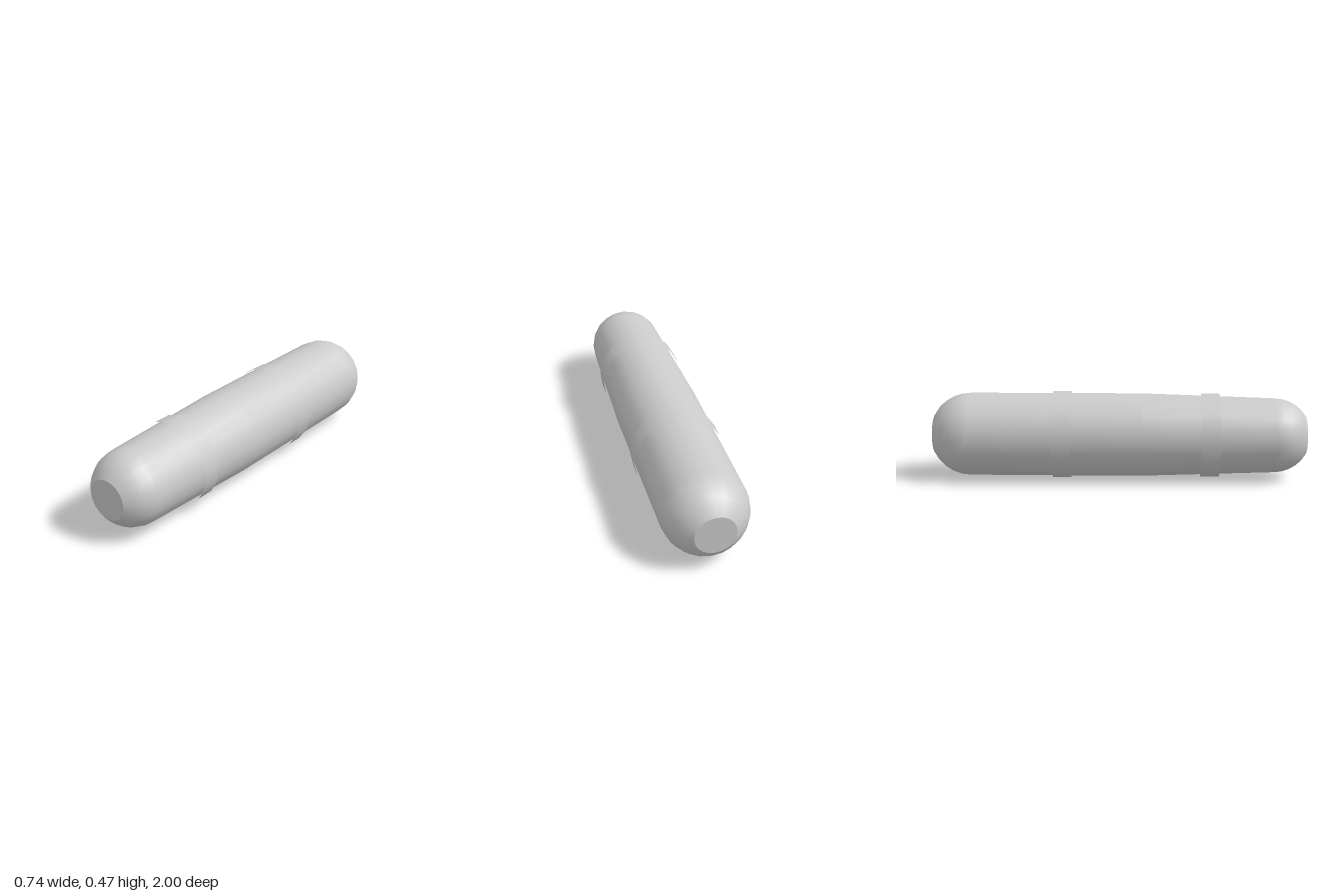
import * as THREE from 'three';

const material = new THREE.MeshStandardMaterial({ color: 0xcccccc });

// Quarter-round profile points from the shoulder (0) to the rim of the flat tip (1)
function dome(radius, shoulder, tip, steps) {
  const end = Math.asin(Math.abs(tip - shoulder) / radius);
  const dir = Math.sign(tip - shoulder);
  const pts = [];
  for (let i = 0; i <= steps; i++) {
    const a = (end * i) / steps;
    pts.push(new THREE.Vector2(radius * Math.cos(a), shoulder + dir * radius * Math.sin(a)));
  }
  return pts;
}

function add(parent, geometry, name) {
  const mesh = new THREE.Mesh(geometry, material);
  mesh.name = name;
  parent.add(mesh);
  return mesh;
}

export function createModel() {
  const model = new THREE.Group();
  model.name = 'bandedCapsule';

  // The capsule is built along +y, then laid down and turned slightly
  const capsule = new THREE.Group();
  capsule.name = 'capsule';
  capsule.rotation.set(Math.PI / 2, 0, 0);
  const turn = new THREE.Group();
  turn.name = 'turnedAxis';
  turn.rotation.y = -0.195;
  turn.position.set(-0.008, 0.237, 0);
  turn.add(capsule);
  model.add(turn);

  // Body: constant at the back, tapering slightly towards the front
  const back = dome(0.2235, -0.8, -0.997, 5);
  const front = dome(0.2, 0.827, 0.997, 5);
  const profile = [...back.slice().reverse(), new THREE.Vector2(0.2235, 0.12), ...front];
  add(capsule, new THREE.LatheGeometry(profile, 20), 'body');

  // Flat tips
  for (const [name, rim, dir] of [['frontTip', front.at(-1), 1], ['backTip', back.at(-1), -1]]) {
    const disc = add(capsule, new THREE.CircleGeometry(rim.x, 20), name);
    disc.rotation.x = (-dir * Math.PI) / 2;
    disc.position.y = rim.y;
  }

  // Thin open bands, visible from outside only
  for (const [name, radius, y, spin] of [['frontBand', 0.225, 0.483, 0.314], ['backBand', 0.235, -0.305, 0]]) {
    const band = add(capsule, new THREE.CylinderGeometry(radius, radius, 0.1, 16, 1, true), name);
    band.position.y = y;
    band.rotation.y = -spin;
  }
  return model;
}
